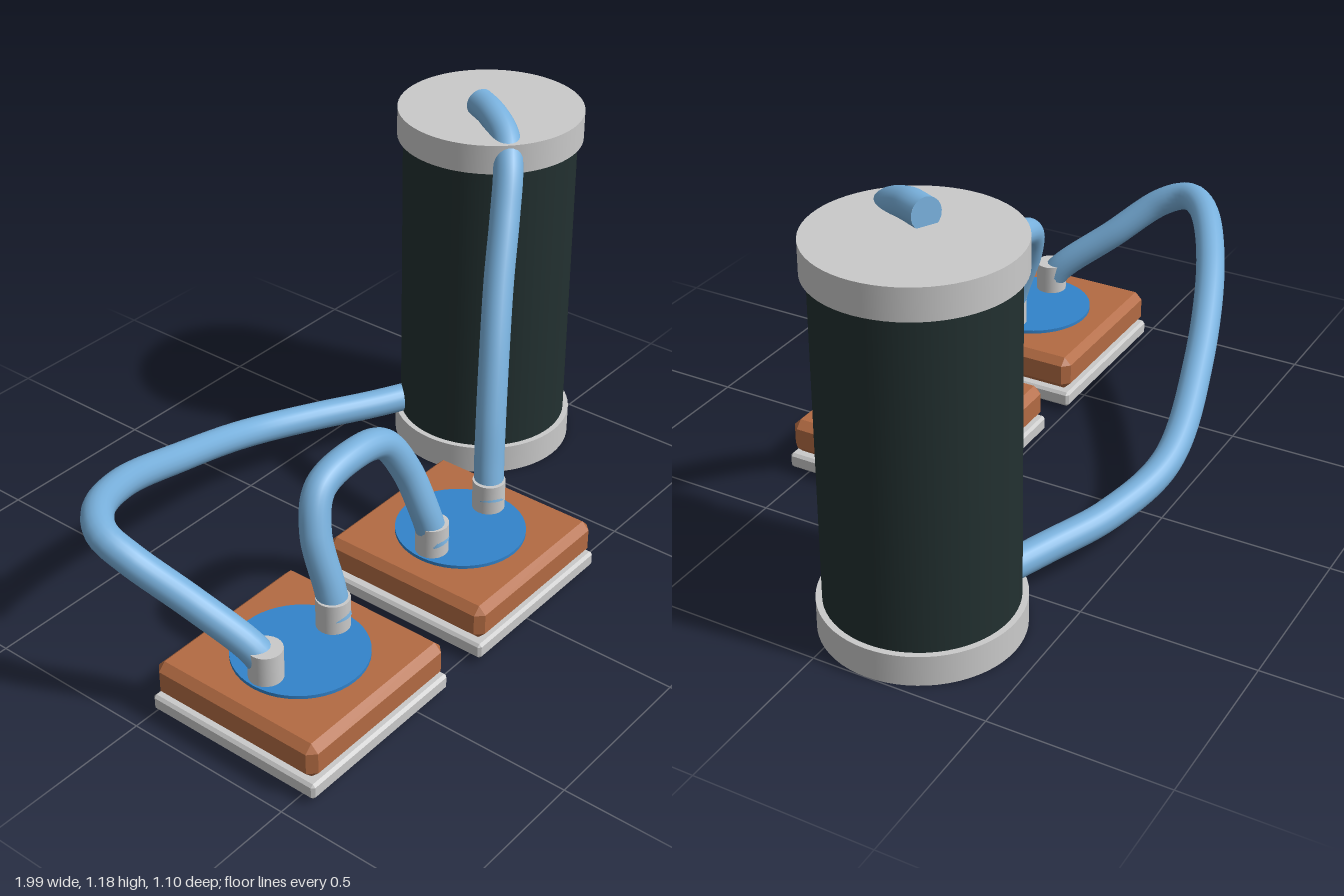
import * as THREE from 'three';
import { ConvexGeometry } from 'three/addons/geometries/ConvexGeometry.js';

const mat = (name, color) => new THREE.MeshStandardMaterial({ name, color });

// Box with every edge and corner cut by c
function chamferBox(w, h, d, c) {
  const pts = [];
  for (const x of [-1, 1]) for (const y of [-1, 1]) for (const z of [-1, 1])
    for (let axis = 0; axis < 3; axis++) {
      const inset = [c, c, c];
      inset[axis] = 0;
      pts.push(new THREE.Vector3(
        x * (w / 2 - inset[0]), y * (h / 2 - inset[1]), z * (d / 2 - inset[2])));
    }
  return new ConvexGeometry(pts);
}

export function createModel() {
  const model = new THREE.Group();
  model.name = 'liquidCoolingLoop';
  const metal = mat('lightMetal', 0xcacaca);
  const copper = mat('copper', 0xb36b43);
  const blue = mat('blueDisc', 0x3283cb);
  const hose = mat('hoseBlue', 0x78b0dc);
  const dark = mat('darkTank', 0x223030);

  const add = (parent, name, geometry, material, x = 0, y = 0, z = 0) => {
    const mesh = new THREE.Mesh(geometry, material);
    mesh.name = name;
    mesh.position.set(x, y, z);
    parent.add(mesh);
    return mesh;
  };
  const cylinder = (r, h, n = 48) => new THREE.CylinderGeometry(r, r, h, n);

  // Reservoir: dark drum between two wider end caps
  const tank = new THREE.Group();
  tank.name = 'reservoir';
  tank.position.set(0.724, 0, -0.156);
  model.add(tank);
  add(tank, 'bottomCap', cylinder(0.275, 0.088, 64), metal, 0, 0.044, 0);
  add(tank, 'drum', cylinder(0.258, 0.936, 64), dark, 0, 0.554, 0);
  add(tank, 'topCap', cylinder(0.275, 0.088, 64), metal, 0, 1.064, 0);

  // Two cooling blocks, each with a base plate, disc and pair of fittings
  [['rightBlock', -0.66], ['leftBlock', 0.032]].forEach(([name, x]) => {
    const block = new THREE.Group();
    block.name = name;
    block.position.set(x, 0, 0.274);
    model.add(block);
    add(block, 'basePlate', chamferBox(0.55, 0.047, 0.55, 0.008), metal, 0, 0.038, 0);
    add(block, 'copperBlock', chamferBox(0.54, 0.106, 0.54, 0.022), copper, 0, 0.117, 0);
    add(block, 'topDisc', cylinder(0.185, 0.01), blue, 0, 0.175, 0);
    for (const s of [-1, 1])
      add(block, 'fitting', cylinder(0.047, 0.095, 24), metal, s * 0.133, 0.2225, 0);
  });

  // Hoses: smooth tubes with closed ends
  const R = 0.043, SIDES = 20;
  const addHose = (name, points) => {
    const curve = new THREE.CatmullRomCurve3(points.map(p => new THREE.Vector3(...p)));
    const group = new THREE.Group();
    group.name = name;
    model.add(group);
    add(group, 'tube', new THREE.TubeGeometry(curve, 96, R, SIDES), hose);
    for (const t of [0, 1]) {
      const p = curve.getPointAt(t);
      const dir = curve.getTangentAt(t).multiplyScalar(t ? 1 : -1);
      const end = add(group, 'hoseEnd', new THREE.CircleGeometry(R, SIDES), hose, p.x, p.y, p.z);
      end.quaternion.setFromUnitVectors(new THREE.Vector3(0, 0, 1), dir);
    }
  };

  addHose('returnHose', [
    [-0.79, 0.21, 0.277], [-0.805, 0.26, 0.24], [-0.87, 0.375, 0.1],
    [-0.943, 0.49, -0.035], [-0.95, 0.528, -0.12], [-0.89, 0.53, -0.2],
    [-0.7, 0.465, -0.315], [-0.35, 0.315, -0.44], [0, 0.19, -0.507],
    [0.25, 0.145, -0.455], [0.45, 0.128, -0.37], [0.62, 0.12, -0.3],
  ]);
  addHose('bridgeHose', [
    [-0.526, 0.21, 0.282], [-0.524, 0.29, 0.262], [-0.517, 0.44, 0.21],
    [-0.465, 0.535, 0.18], [-0.33, 0.566, 0.174], [-0.2, 0.54, 0.178],
    [-0.138, 0.44, 0.208], [-0.112, 0.3, 0.258], [-0.1, 0.21, 0.282],
  ]);
  addHose('supplyHose', [
    [0.16, 0.21, 0.28], [0.18, 0.3, 0.262], [0.215, 0.43, 0.238],
    [0.28, 0.6, 0.196], [0.37, 0.78, 0.14], [0.46, 0.93, 0.09],
    [0.535, 1.043, 0.043], [0.592, 1.1, -0.012], [0.633, 1.132, -0.085],
    [0.67, 1.138, -0.158],
  ]);

  return model;
}
